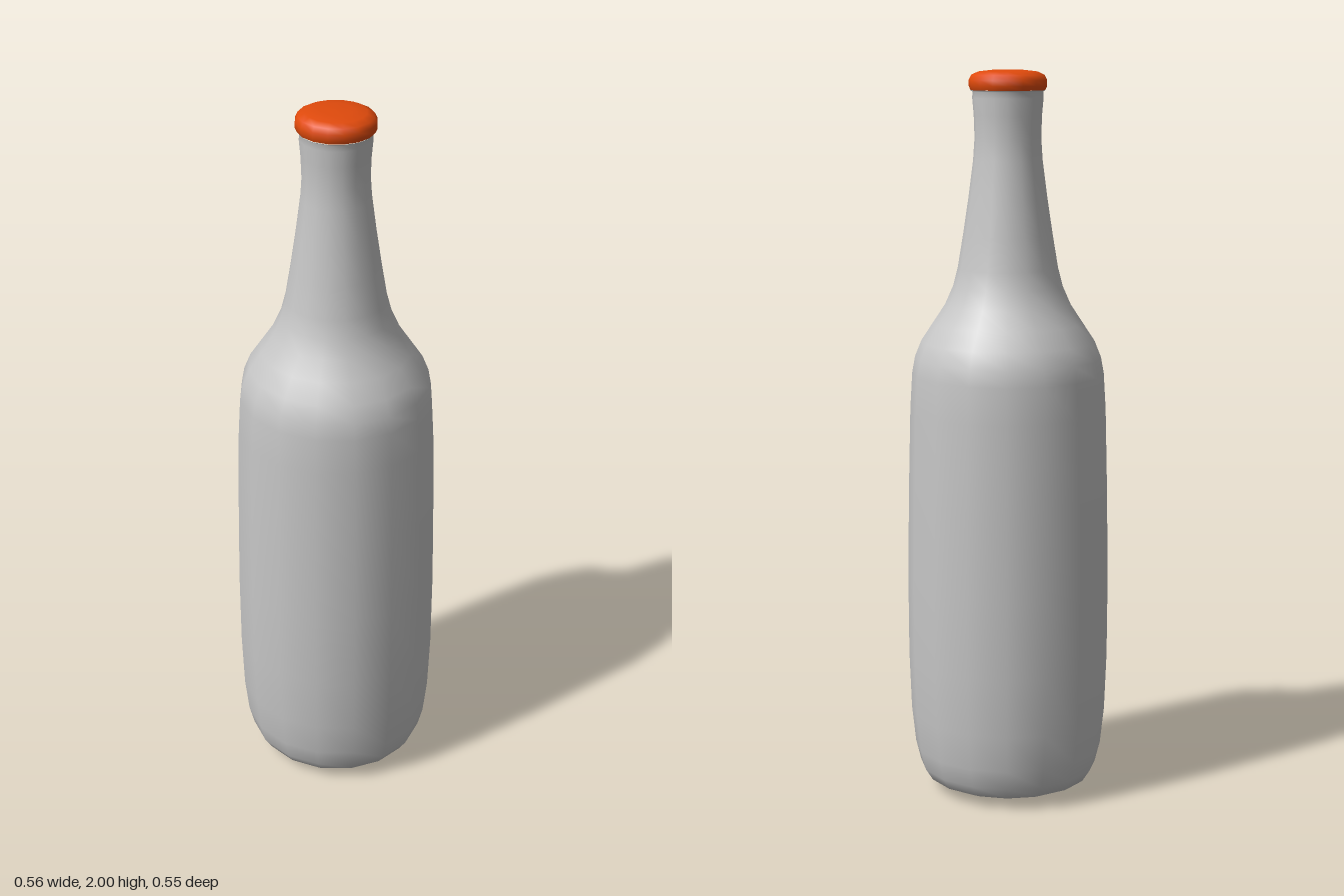
import * as THREE from 'three';

const SIDES = 16;

// Smooth turned part, slightly narrower in depth than in width
function turned(name, profile, material, depth) {
  const points = profile.map(([r, y]) => new THREE.Vector2(r, y));
  const mesh = new THREE.Mesh(new THREE.LatheGeometry(points, SIDES), material);
  mesh.name = name;
  mesh.scale.z = depth;
  return mesh;
}

export function createModel() {
  const glass = new THREE.MeshStandardMaterial({ color: 0xc6c6c6 });
  glass.name = 'pale grey glass';
  const orange = new THREE.MeshStandardMaterial({ color: 0xe04a0c });
  orange.name = 'orange cap';

  const group = new THREE.Group();
  group.name = 'bottle';

  // Bottle: domed base, tapering body, shoulder, neck and lip under the cap
  group.add(turned('bottleBody', [
    [0, 0], [0.12, 0.01], [0.2, 0.022], [0.228, 0.034], [0.248, 0.065],
    [0.262, 0.12], [0.273, 0.22], [0.279, 0.38], [0.28, 0.6], [0.276, 0.85],
    [0.27, 1.08], [0.264, 1.18], [0.256, 1.225], [0.238, 1.27], [0.205, 1.32],
    [0.172, 1.37], [0.15, 1.42], [0.137, 1.47], [0.122, 1.56], [0.107, 1.66],
    [0.094, 1.76], [0.09, 1.82], [0.092, 1.88], [0.096, 1.925], [0.095, 1.942],
    [0.101, 1.946],
  ], glass, 0.976));

  // Cap: rounded rim with a shallow domed top
  group.add(turned('cap', [
    [0.101, 1.946], [0.106, 1.957], [0.106, 1.972], [0.099, 1.986],
    [0.08, 1.995], [0.045, 1.999], [0, 2],
  ], orange, 0.94));

  return group;
}
